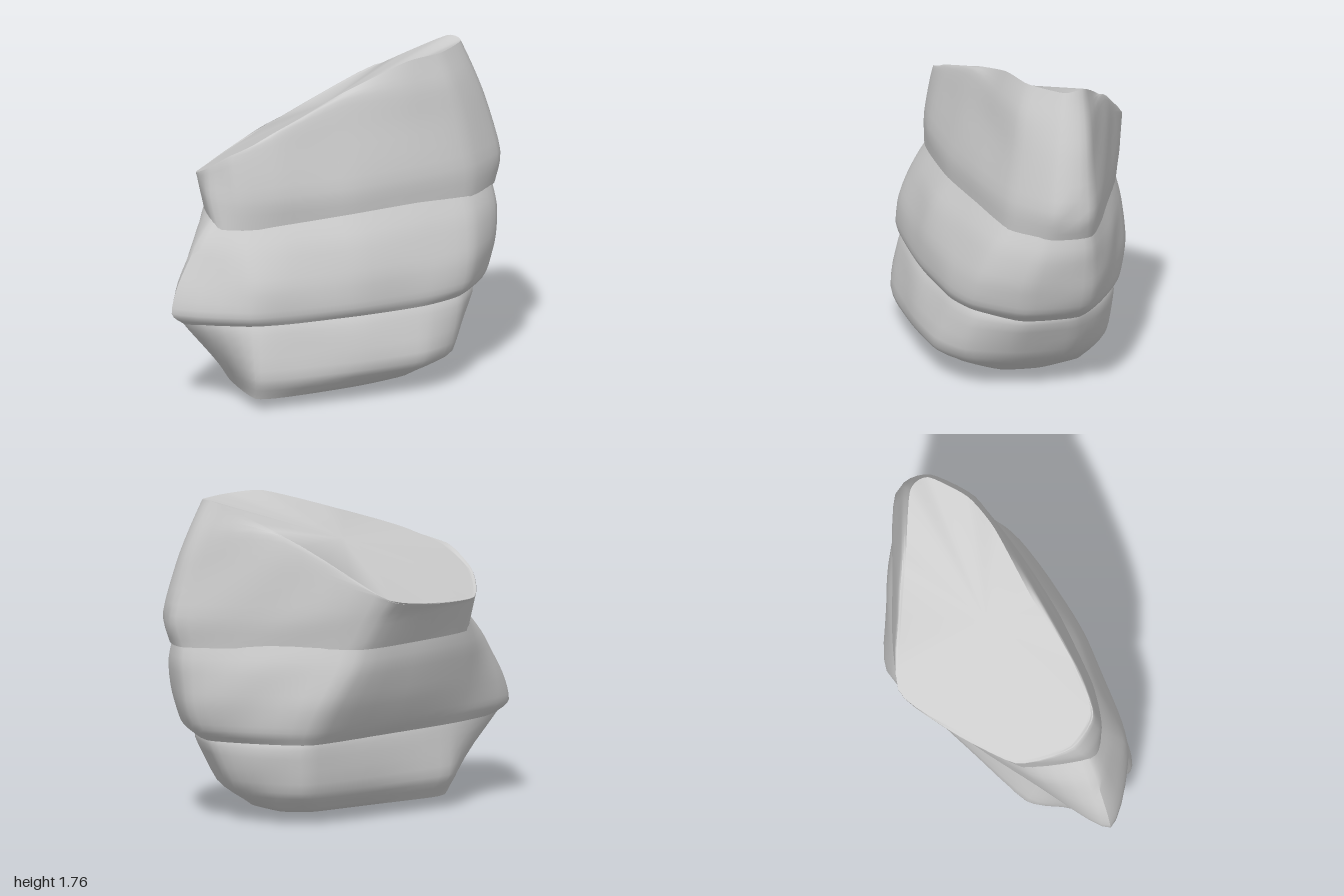
import * as THREE from 'three';
import { toCreasedNormals } from 'three/addons/utils/BufferGeometryUtils.js';

const STEPS = 5; // samples between two outline corners
const RISE = 4; // samples between two rings

// sloping plane that cuts off the top of the boulder
function topPlane(x, z) {
  return Math.min(1.535 + 0.45 * x + 0.42 * z, 1.75 + 0.02 * (x - 0.78));
}

// outline corners as x, z pairs: left tip, front, right, back, back to left
function ring(y, xz) {
  const corners = [];
  for (let i = 0; i < xz.length; i += 2) {
    const x = xz[i];
    const z = xz[i + 1];
    corners.push(new THREE.Vector3(x, Math.min(y, topPlane(x, z)), z));
  }
  const curve = new THREE.CatmullRomCurve3(corners, true, 'catmullrom', 0.3);
  return curve.getPoints(corners.length * STEPS).slice(0, -1);
}

// skins a stack of rings and closes both ends with fans
function slab(rings, lowY) {
  const n = rings[0].length;
  const rows = (rings.length - 1) * RISE;
  const pos = [];
  const index = [];

  const columns = [];
  for (let j = 0; j < n; j++) {
    const column = rings.map((r) => r[j]);
    columns.push(new THREE.CatmullRomCurve3(column, false, 'catmullrom', 0.4));
  }

  for (let i = 0; i <= rows; i++) {
    const t = i / rows;
    const fade = 0.012 * Math.sin(Math.PI * t);
    for (const column of columns) {
      const p = column.getPoint(t);
      // gentle weathering, fading out at both ends
      const k = 1 + fade * Math.sin(9 * p.x + 5 * p.y) * Math.cos(8 * p.y + 6 * p.z);
      const x = Math.max(-1, Math.min(1, p.x * k));
      pos.push(x, p.y, p.z * k);
    }
  }

  for (let i = 0; i < rows; i++) {
    for (let j = 0; j < n; j++) {
      const a = i * n + j;
      const b = i * n + (j + 1) % n;
      index.push(a, b, b + n, a, b + n, a + n);
    }
  }

  // end caps
  const middleOf = (row) => {
    const c = new THREE.Vector3();
    row.forEach((p) => c.add(p));
    return c.divideScalar(n);
  };
  const lowCentre = middleOf(rings[0]);
  const highCentre = middleOf(rings[rings.length - 1]);
  const low = (rows + 1) * n;
  const high = low + 1;
  pos.push(lowCentre.x, lowY, lowCentre.z);
  pos.push(highCentre.x, highCentre.y, highCentre.z);
  for (let j = 0; j < n; j++) {
    const k = (j + 1) % n;
    index.push(low, k, j, high, rows * n + j, rows * n + k);
  }

  const geo = new THREE.BufferGeometry();
  geo.setAttribute('position', new THREE.Float32BufferAttribute(pos, 3));
  geo.setIndex(index);
  return toCreasedNormals(geo, 0.7);
}

export function createModel() {
  const group = new THREE.Group();
  group.name = 'boulder';
  const stone = new THREE.MeshStandardMaterial({ color: 0xcccccc });
  stone.name = 'grey stone';

  const addLayer = (name, lowY, rings) => {
    const mesh = new THREE.Mesh(slab(rings, lowY), stone);
    mesh.name = name;
    group.add(mesh);
  };

  // three stacked layers, each with a ledge where it meets the next
  addLayer('bottomLayer', 0, [
    ring(0.06, [-0.6, 0.1, -0.6, 0.49, -0.4, 0.52, 0, 0.47, 0.3, 0.38, 0.48, 0.2, 0.5, 0, 0.45, -0.15, 0.4, -0.25, 0.25, -0.3, -0.1, -0.17, -0.5, -0.02]),
    ring(0.18, [-0.7, 0.2, -0.62, 0.54, -0.4, 0.585, 0, 0.58, 0.35, 0.54, 0.56, 0.41, 0.66, 0.15, 0.64, -0.15, 0.5, -0.32, 0.3, -0.42, -0.1, -0.27, -0.58, -0.04]),
    ring(0.42, [-0.9, 0.27, -0.62, 0.51, -0.4, 0.54, 0, 0.53, 0.4, 0.48, 0.62, 0.38, 0.78, 0.15, 0.77, -0.15, 0.55, -0.35, 0.31, -0.46, -0.1, -0.27, -0.6, 0.02]),
    ring(0.52, [-0.98, 0.28, -0.62, 0.47, -0.4, 0.49, 0, 0.47, 0.4, 0.42, 0.6, 0.34, 0.75, 0.12, 0.74, -0.13, 0.52, -0.31, 0.28, -0.42, -0.1, -0.23, -0.6, 0.05]),
  ]);

  addLayer('middleLayer', 0.47, [
    ring(0.45, [-0.92, 0.28, -0.62, 0.48, -0.4, 0.51, 0, 0.5, 0.4, 0.45, 0.6, 0.36, 0.79, 0.14, 0.79, -0.16, 0.57, -0.34, 0.29, -0.46, -0.18, -0.22, -0.63, 0.03]),
    ring(0.52, [-1, 0.28, -0.64, 0.52, -0.4, 0.545, 0, 0.535, 0.4, 0.48, 0.65, 0.39, 0.86, 0.15, 0.86, -0.19, 0.61, -0.37, 0.28, -0.5, -0.22, -0.26, -0.67, 0.02]),
    ring(0.68, [-0.95, 0.27, -0.63, 0.5, -0.4, 0.53, 0, 0.525, 0.4, 0.46, 0.7, 0.37, 0.92, 0.14, 0.92, -0.2, 0.62, -0.39, 0.21, -0.54, -0.27, -0.31, -0.71, 0]),
    ring(0.87, [-0.86, 0.26, -0.62, 0.42, -0.4, 0.46, 0, 0.46, 0.4, 0.39, 0.72, 0.29, 0.94, 0.09, 0.94, -0.2, 0.59, -0.39, 0.1, -0.54, -0.3, -0.34, -0.71, -0.05]),
    ring(1.03, [-0.74, 0.24, -0.6, 0.33, -0.4, 0.36, 0, 0.36, 0.4, 0.29, 0.72, 0.19, 0.92, 0.04, 0.92, -0.18, 0.53, -0.36, 0.04, -0.51, -0.3, -0.34, -0.66, -0.09]),
  ]);

  addLayer('topLayer', 0.97, [
    ring(0.97, [-0.75, 0.27, -0.62, 0.37, -0.4, 0.39, 0, 0.38, 0.4, 0.31, 0.74, 0.22, 0.95, 0.03, 0.94, -0.2, 0.51, -0.38, 0.04, -0.53, -0.3, -0.36, -0.66, -0.1]),
    ring(1.14, [-0.77, 0.21, -0.65, 0.36, -0.4, 0.4, 0, 0.38, 0.4, 0.31, 0.75, 0.21, 0.995, 0.02, 0.98, -0.2, 0.48, -0.41, -0.04, -0.57, -0.38, -0.39, -0.68, -0.15]),
    ring(1.42, [-0.76, 0.16, -0.66, 0.31, -0.4, 0.335, 0, 0.3, 0.4, 0.24, 0.7, 0.16, 0.92, -0.02, 0.91, -0.2, 0.43, -0.4, -0.1, -0.6, -0.4, -0.41, -0.69, -0.15]),
    ring(1.6, [-0.74, 0.15, -0.64, 0.3, -0.4, 0.31, 0, 0.25, 0.4, 0.2, 0.66, 0.13, 0.86, -0.05, 0.84, -0.2, 0.42, -0.38, -0.1, -0.6, -0.39, -0.4, -0.68, -0.15]),
    ring(1.8, [-0.72, 0.14, -0.62, 0.29, -0.4, 0.29, 0, 0.21, 0.4, 0.15, 0.62, 0.08, 0.8, -0.08, 0.76, -0.2, 0.41, -0.36, -0.09, -0.58, -0.38, -0.385, -0.66, -0.14]),
  ]);

  return group;
}
